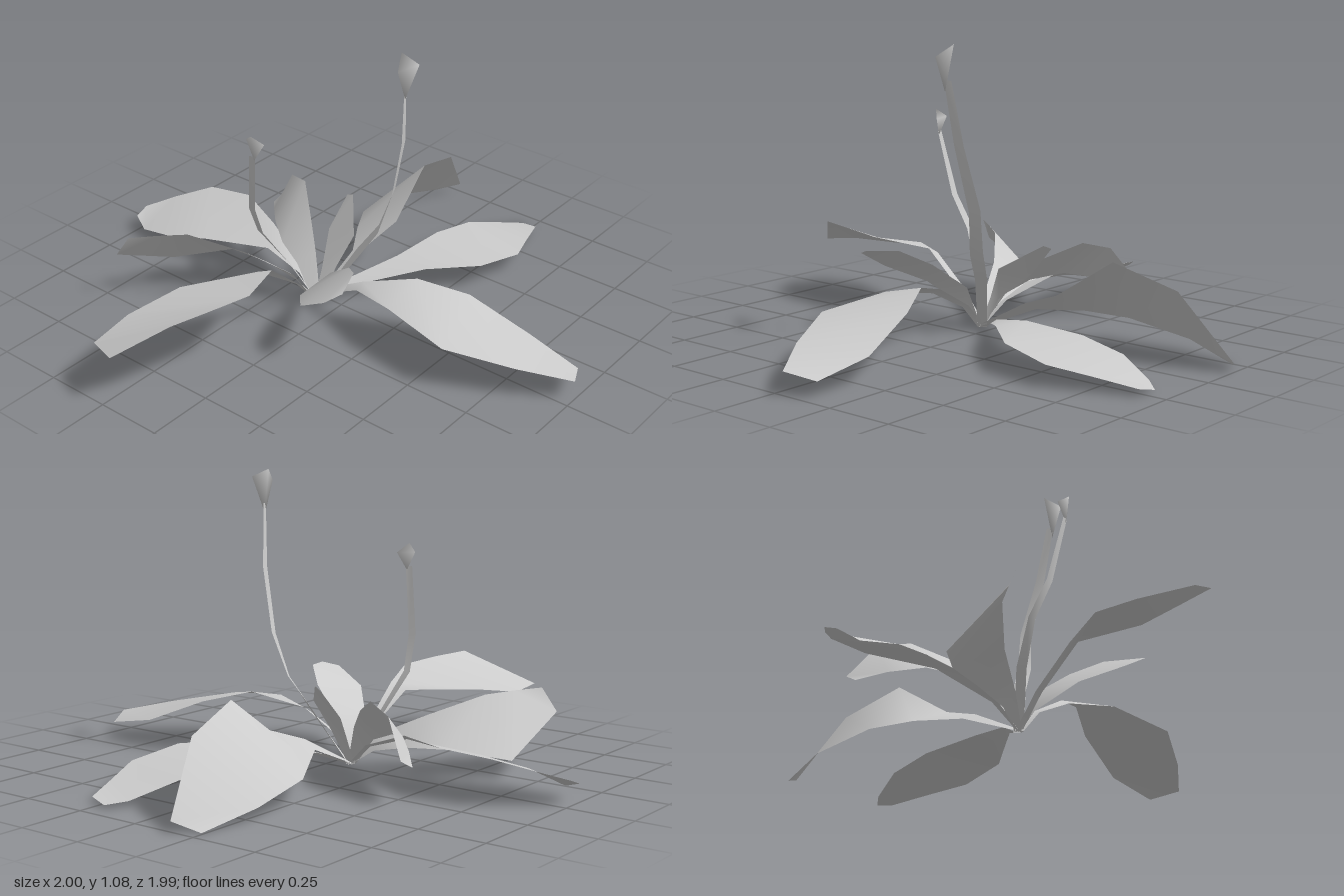
import * as THREE from 'three';

const foliage = new THREE.MeshStandardMaterial({ color: 0xcccccc, side: THREE.DoubleSide });
foliage.name = 'pale grey';

// Smooth ribbon through cross-sections, each [left x,y,z, right x,y,z] seen looking outward
function ribbon(name, sections) {
  const geo = new THREE.BufferGeometry();
  geo.setAttribute('position', new THREE.Float32BufferAttribute(sections.flat(), 3));
  const index = [];
  for (let i = 0; i < sections.length - 1; i++) {
    const a = i * 2;
    index.push(a, a + 1, a + 3, a, a + 3, a + 2);
  }
  geo.setIndex(index);
  geo.computeVertexNormals();
  const mesh = new THREE.Mesh(geo, foliage);
  mesh.name = name;
  return mesh;
}

// Three-sided bud: pointed base opening to a triangular top
function bud(name, base, a, b, c) {
  const geo = new THREE.BufferGeometry();
  geo.setAttribute('position', new THREE.Float32BufferAttribute([...base, ...a, ...b, ...c], 3));
  geo.setIndex([0, 1, 2, 0, 2, 3, 0, 3, 1, 1, 3, 2]);
  geo.computeVertexNormals();
  const mesh = new THREE.Mesh(geo, foliage);
  mesh.name = name;
  return mesh;
}

export function createModel() {
  const plant = new THREE.Group();
  plant.name = 'rosettePlant';

  // Large leaves
  plant.add(ribbon('backLeaf', [
    [-0.10, 0.01, 0.04, -0.07, 0.02, 0.04],
    [-0.105, 0.11, -0.20, -0.05, 0.14, -0.19],
    [-0.20, 0.11, -0.35, -0.016, 0.20, -0.36],
    [-0.28, 0.09, -0.49, -0.045, 0.345, -0.58],
    [-0.295, 0.05, -0.74, -0.085, 0.27, -0.82],
    [-0.24, 0.005, -0.95, -0.155, 0.04, -1.0],
  ]));
  plant.add(ribbon('backRightLeaf', [
    [-0.10, 0.01, 0.03, -0.07, 0.01, 0.05],
    [-0.05, 0.06, -0.06, 0.01, 0.06, -0.08],
    [0.053, 0.11, -0.28, 0.20, 0.115, -0.26],
    [0.06, 0.10, -0.53, 0.347, 0.11, -0.42],
    [0.085, 0.07, -0.72, 0.385, 0.08, -0.62],
    [0.155, 0.025, -0.87, 0.33, 0.055, -0.77],
    [0.21, 0.015, -0.93, 0.28, 0.03, -0.915],
  ]));
  plant.add(ribbon('rightLeaf', [
    [-0.09, 0.01, 0.03, -0.08, 0.01, 0.06],
    [-0.02, 0.10, 0.05, -0.02, 0.09, 0.08],
    [0.14, 0.19, 0.05, 0.14, 0.17, 0.085],
    [0.33, 0.24, -0.03, 0.33, 0.20, 0.145],
    [0.50, 0.195, -0.12, 0.60, 0.17, 0.19],
    [0.735, 0.10, -0.165, 0.83, 0.125, 0.075],
    [0.95, 0.06, -0.145, 1.0, 0.085, -0.04],
  ]));
  plant.add(ribbon('leftLeaf', [
    [-0.09, 0.01, 0.05, -0.09, 0.02, 0.03],
    [-0.18, 0.09, 0.03, -0.18, 0.10, 0.0],
    [-0.34, 0.14, 0.03, -0.40, 0.18, -0.075],
    [-0.61, 0.11, 0.095, -0.62, 0.185, -0.175],
    [-0.775, 0.08, 0.135, -0.80, 0.17, -0.15],
    [-0.93, 0.045, 0.12, -0.92, 0.125, -0.05],
    [-1.0, 0.07, 0.09, -1.0, 0.09, 0.035],
  ]));
  plant.add(ribbon('frontLeaf', [
    [-0.07, 0.01, 0.04, -0.10, 0.01, 0.04],
    [-0.08, 0.13, 0.14, -0.11, 0.13, 0.14],
    [-0.08, 0.275, 0.30, -0.14, 0.25, 0.31],
    [0.0, 0.305, 0.51, -0.305, 0.235, 0.545],
    [-0.03, 0.315, 0.68, -0.363, 0.20, 0.75],
    [-0.065, 0.32, 0.835, -0.33, 0.20, 0.945],
    [-0.21, 0.21, 0.985, -0.33, 0.20, 0.945],
  ]));
  plant.add(ribbon('frontLeftLeaf', [
    [-0.08, 0.01, 0.05, -0.09, 0.01, 0.03],
    [-0.16, 0.12, 0.09, -0.18, 0.07, 0.05],
    [-0.325, 0.20, 0.18, -0.32, 0.10, 0.06],
    [-0.49, 0.275, 0.31, -0.475, 0.11, 0.085],
    [-0.56, 0.285, 0.40, -0.657, 0.07, 0.225],
    [-0.625, 0.29, 0.485, -0.68, 0.205, 0.50],
  ]));

  // Small inner leaves
  plant.add(ribbon('frontRightLeaf', [
    [-0.07, 0.01, 0.03, -0.09, 0.01, 0.05],
    [-0.01, 0.17, 0.05, -0.06, 0.08, 0.09],
    [0.12, 0.27, 0.105, 0.0, 0.17, 0.24],
    [0.21, 0.325, 0.19, 0.105, 0.23, 0.36],
    [0.255, 0.315, 0.31, 0.22, 0.295, 0.37],
  ]));
  plant.add(ribbon('backLeftLeaf', [
    [-0.10, 0.01, 0.05, -0.08, 0.02, 0.03],
    [-0.20, 0.12, 0.02, -0.15, 0.17, -0.03],
    [-0.305, 0.16, -0.015, -0.225, 0.25, -0.095],
    [-0.41, 0.18, -0.095, -0.36, 0.32, -0.22],
    [-0.50, 0.16, -0.19, -0.47, 0.29, -0.27],
    [-0.57, 0.13, -0.27, -0.56, 0.16, -0.325],
  ]));
  plant.add(ribbon('uprightBackLeaf', [
    [-0.10, 0.01, 0.04, -0.07, 0.01, 0.04],
    [-0.11, 0.12, -0.02, -0.05, 0.14, -0.03],
    [-0.165, 0.22, -0.13, -0.016, 0.26, -0.095],
    [-0.155, 0.33, -0.23, -0.12, 0.345, -0.22],
  ]));

  // Flower stalks with buds
  plant.add(ribbon('tallStalk', [
    [-0.09, 0.01, 0.02, -0.07, 0.01, 0.05],
    [0.02, 0.23, -0.07, 0.05, 0.22, -0.04],
    [0.09, 0.34, -0.11, 0.115, 0.33, -0.07],
    [0.14, 0.50, -0.14, 0.155, 0.49, -0.10],
    [0.20, 0.73, -0.115, 0.21, 0.73, -0.08],
    [0.225, 0.96, -0.08, 0.235, 0.96, -0.055],
  ]));
  plant.add(bud('tallBud', [0.235, 0.92, -0.06],
    [0.205, 1.085, -0.075], [0.275, 1.055, -0.085], [0.235, 1.04, -0.015]));
  plant.add(ribbon('shortStalk', [
    [-0.07, 0.01, 0.05, -0.10, 0.01, 0.03],
    [-0.15, 0.20, 0.13, -0.18, 0.20, 0.11],
    [-0.20, 0.345, 0.21, -0.23, 0.345, 0.205],
    [-0.18, 0.475, 0.27, -0.21, 0.475, 0.27],
    [-0.14, 0.72, 0.305, -0.165, 0.72, 0.31],
  ]));
  plant.add(bud('shortBud', [-0.145, 0.705, 0.305],
    [-0.185, 0.775, 0.30], [-0.145, 0.805, 0.32], [-0.112, 0.77, 0.287]));

  return plant;
}
